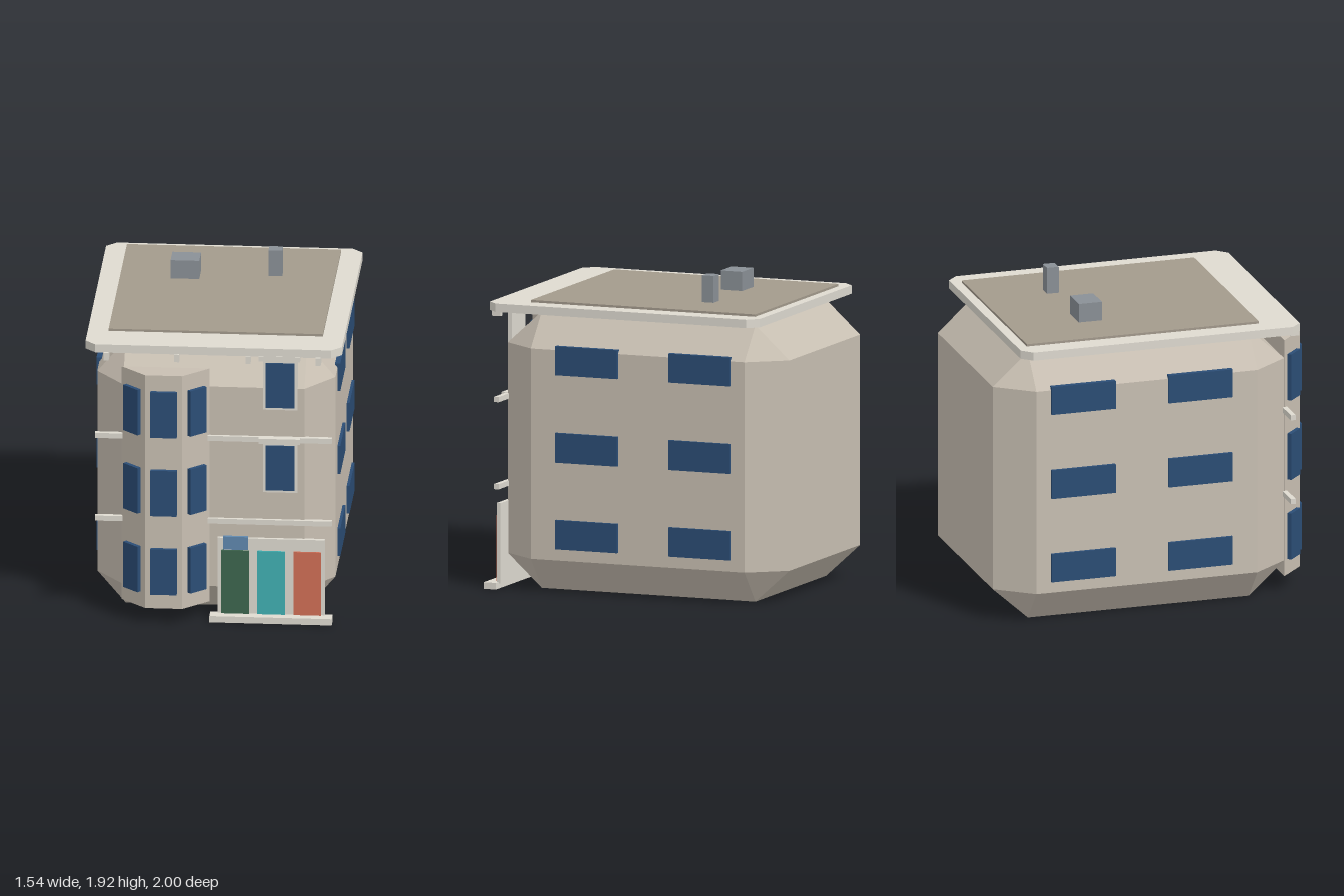
import * as THREE from 'three';
import { ConvexGeometry } from 'three/addons/geometries/ConvexGeometry.js';

const mat = (color) => new THREE.MeshStandardMaterial({ color, flatShading: true });
const wall = mat(0xc8bfb2), trim = mat(0xdedad0), deck = mat(0xa39a8c), glass = mat(0x2b4d75),
  vent = mat(0x8a9096), transomBlue = mat(0x6088ae);

export function createModel() {
  const model = new THREE.Group();

  const add = (name, geometry, material) => {
    const mesh = new THREE.Mesh(geometry, material);
    mesh.name = name;
    model.add(mesh);
    return mesh;
  };
  // Box given by its extents on each axis
  const box = (name, material, [x0, x1], [y0, y1], [z0, z1]) => {
    const mesh = add(name, new THREE.BoxGeometry(x1 - x0, y1 - y0, z1 - z0), material);
    mesh.position.set((x0 + x1) / 2, (y0 + y1) / 2, (z0 + z1) / 2);
    return mesh;
  };
  // Plan outline of [x, z] points raised from y0 to y1
  const prism = (name, material, plan, y0, y1) => {
    const shape = new THREE.Shape(plan.map(([x, z]) => new THREE.Vector2(x, -z)));
    const geometry = new THREE.ExtrudeGeometry(shape, { depth: y1 - y0, bevelEnabled: false });
    geometry.rotateX(-Math.PI / 2);
    add(name, geometry, material).position.y = y0;
  };

  // Main block with every edge chamfered
  const half = [0.715, 0.8375, 0.915], inner = [0.545, 0.6375, 0.695];
  const points = [];
  for (const sx of [-1, 1]) for (const sy of [-1, 1]) for (const sz of [-1, 1]) {
    for (let axis = 0; axis < 3; axis++) {
      const c = inner.map((v, i) => (i === axis ? half[i] : v));
      points.push(new THREE.Vector3(sx * c[0], 0.8375 + sy * c[1], -0.085 + sz * c[2]));
    }
  }
  add('body', new ConvexGeometry(points), wall);

  // Side windows, mirrored left and right
  for (const [y0, y1] of [[0.27, 0.447], [0.795, 0.975], [1.325, 1.5]]) {
    for (const z of [[0.045, 0.447], [-0.689, -0.287]]) {
      box('sideWindow', glass, [0.7, 0.732], [y0, y1], z);
      box('sideWindow', glass, [-0.732, -0.7], [y0, y1], z);
    }
  }

  // Bay with three faces, three storeys of windows
  const bay = [[-0.553, 0.83], [-0.4, 0.975], [-0.178, 0.975], [-0.025, 0.83]];
  prism('bay', wall, bay, 0.103, 1.59);
  for (const y of [0.343, 0.845, 1.345]) {
    [0.125, 0.158, 0.125].forEach((width, i) => {
      const [ax, az] = bay[i], [bx, bz] = bay[i + 1];
      const angle = Math.atan2(az - bz, bx - ax);
      const pane = add('bayWindow', new THREE.BoxGeometry(width, 0.29, 0.03), glass);
      pane.position.set((ax + bx) / 2 + Math.sin(angle) * 0.01, y, (az + bz) / 2 + Math.cos(angle) * 0.01);
      pane.rotation.y = angle;
    });
  }

  // Upper front windows with frame and lintel
  for (const y of [0.815, 1.342]) {
    box('windowFrame', trim, [0.297, 0.505], [y, y + 0.325], [0.82, 0.846]);
    box('frontWindow', glass, [0.312, 0.488], [y + 0.015, y + 0.3], [0.825, 0.853]);
    box('windowLintel', trim, [0.272, 0.522], [y + 0.32, y + 0.353], [0.82, 0.88]);
  }

  // Belt courses, interrupted by the bay
  for (const y of [0.607, 1.135]) {
    box('beltCourse', trim, [-0.712, -0.545], [y, y + 0.032], [0.82, 0.85]);
    box('beltCourse', trim, [-0.035, 0.71], [y, y + 0.032], [0.82, 0.85]);
  }

  // Entrance: surround, three doors, transom and step
  box('doorSurround', trim, [0.025, 0.668], [0.03, 0.518], [0.825, 0.85]);
  [[0.048, 0x3d664e], [0.264, 0x40b0b2], [0.481, 0xd06e56]].forEach(([x, color]) =>
    box('door', mat(color), [x, x + 0.167], [0.038, 0.442], [0.83, 0.86]));
  box('transom', transomBlue, [0.058, 0.208], [0.447, 0.529], [0.84, 0.86]);
  box('step', trim, [-0.02, 0.715], [0, 0.04], [0.835, 0.915]);

  // Overhanging roof with clipped corners
  const w = 0.77, d = 0.877, c = 0.062;
  prism('roofSlab', trim, [[-w, d - c], [-w + c, d], [w - c, d], [w, d - c],
    [w, c - d], [w - c, -d], [c - w, -d], [-w, c - d]], 1.692, 1.743);
  box('roofDeck', deck, [-0.645, 0.642], [1.74, 1.757], [-0.818, 0.64]);
  box('wideChimney', vent, [-0.34, -0.168], [1.75, 1.873], [-0.395, -0.25]);
  box('tallChimney', vent, [0.242, 0.324], [1.75, 1.92], [-0.41, -0.336]);

  // Brackets under the front eave
  for (const x of [-0.641, -0.218, 0.21, 0.632])
    box('eaveBracket', trim, [x - 0.015, x + 0.015], [1.647, 1.695], [0.835, 0.89]);

  return model;
}
